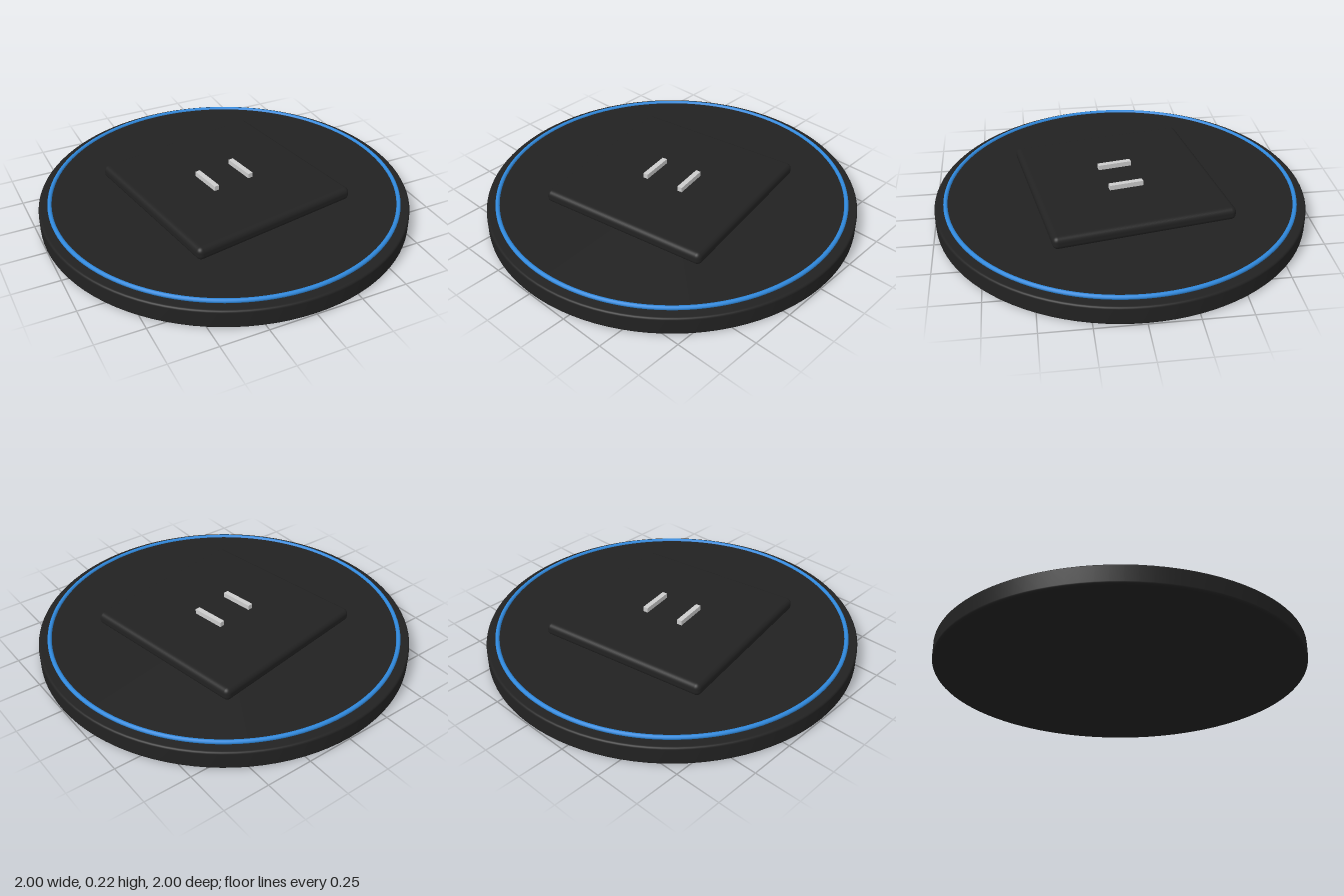
import * as THREE from 'three';
import { RoundedBoxGeometry } from 'three/addons/geometries/RoundedBoxGeometry.js';

const charcoal = new THREE.MeshStandardMaterial({ name: 'charcoal', color: 0x222222 });
const blue = new THREE.MeshStandardMaterial({ name: 'blue', color: 0x2f88dc });
const silver = new THREE.MeshStandardMaterial({ name: 'silver', color: 0xcccccc });

function addMesh(parent, name, geometry, material, x = 0, y = 0, z = 0) {
  const mesh = new THREE.Mesh(geometry, material);
  mesh.name = name;
  mesh.position.set(x, y, z);
  parent.add(mesh);
  return mesh;
}

// Flat round slab with softly rounded rims, standing on y = 0
function discGeometry(radius, height, round) {
  const points = [new THREE.Vector2(0, 0)];
  const steps = 5;
  for (const [cy, start] of [[round, -Math.PI / 2], [height - round, 0]]) {
    for (let i = 0; i <= steps; i++) {
      const a = start + (i / steps) * Math.PI / 2;
      points.push(new THREE.Vector2(radius - round + Math.cos(a) * round, cy + Math.sin(a) * round));
    }
  }
  points.push(new THREE.Vector2(0, height));
  return new THREE.LatheGeometry(points, 96);
}

export function createModel() {
  const model = new THREE.Group();
  model.name = 'roundPad';

  // Round base with a slightly raised deck inside the ring
  addMesh(model, 'base', discGeometry(1, 0.1, 0.012), charcoal);
  addMesh(model, 'deck', new THREE.CylinderGeometry(0.938, 0.938, 0.014, 96), charcoal, 0, 0.106, 0);

  // Light ring
  const ring = addMesh(model, 'lightRing', new THREE.TorusGeometry(0.94, 0.0115, 12, 128), blue, 0, 0.112, 0);
  ring.rotation.x = Math.PI / 2;

  // Turned square plate carrying two contact bars
  const dock = new THREE.Group();
  dock.name = 'dock';
  dock.rotation.y = THREE.MathUtils.degToRad(9.5);
  model.add(dock);
  addMesh(dock, 'plate', new RoundedBoxGeometry(0.965, 0.07, 0.965, 5, 0.028), charcoal, 0, 0.153, 0);
  for (const side of [-1, 1]) {
    addMesh(dock, side < 0 ? 'rightContact' : 'leftContact',
      new THREE.BoxGeometry(0.028, 0.045, 0.184), silver, side * 0.11, 0.1925, 0);
  }
  return model;
}
